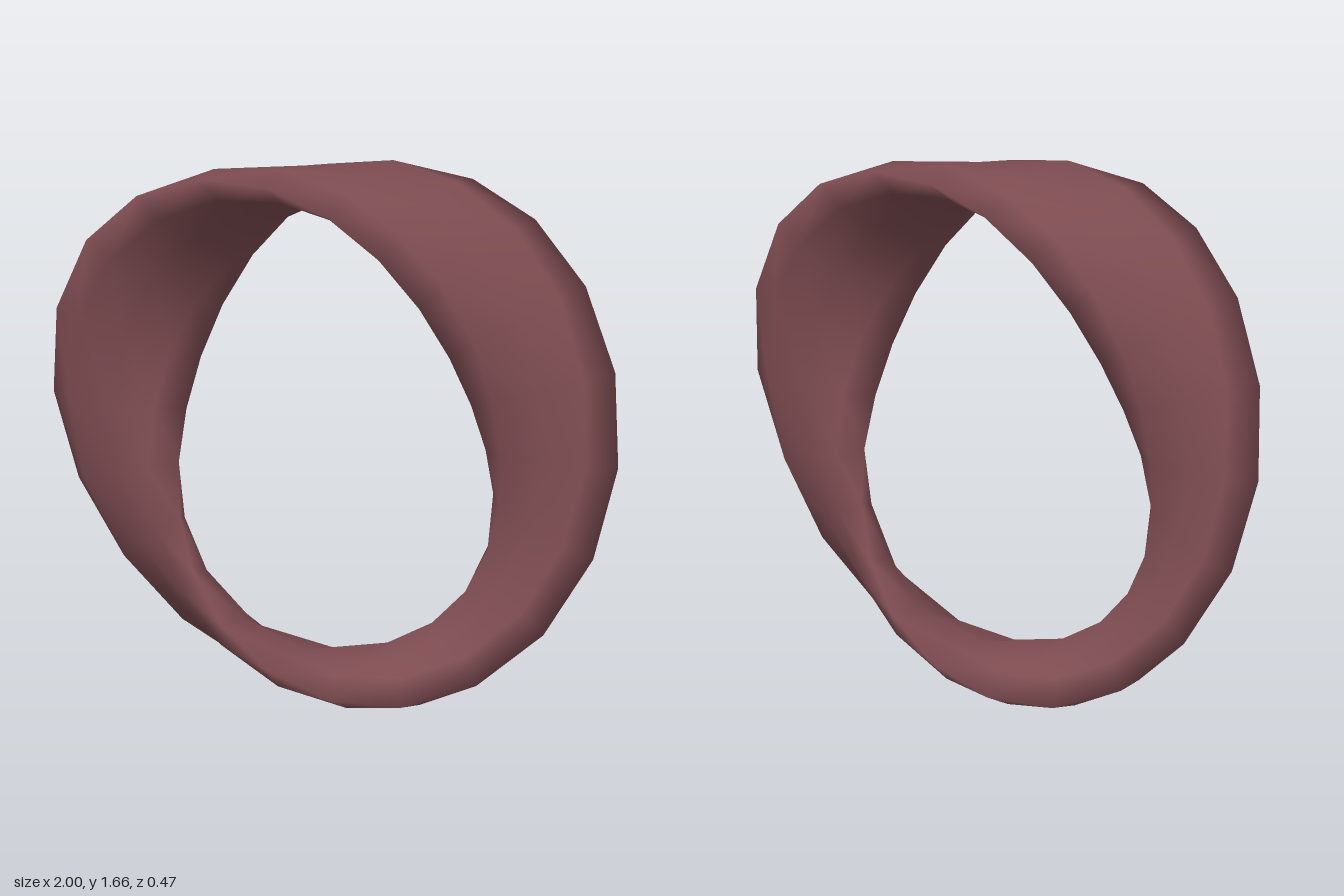
import * as THREE from 'three';

const SEGMENTS = 22;
const RADIUS = 0.765;
const CENTRE_Y = 0.829;

// Lens-like cross-section of the band: [across width, across thickness]
const SECTION = [
  [0.235, 0], [0.15, 0.052], [0, 0.055], [-0.15, 0.052],
  [-0.235, 0], [-0.15, -0.052], [0, -0.055], [0.15, -0.052],
];

// Sweep the section round a circle while it makes one full twist
function twistedBandGeometry() {
  const positions = [];
  const indices = [];
  const n = SECTION.length;
  for (let i = 0; i < SEGMENTS; i++) {
    const phi = (i / SEGMENTS) * Math.PI * 2;
    const twist = -phi;
    const c = Math.cos(twist), s = Math.sin(twist);
    for (const [u, v] of SECTION) {
      const r = RADIUS + u * c - v * s;
      positions.push(r * Math.cos(phi), CENTRE_Y + r * Math.sin(phi), u * s + v * c);
    }
    const next = (i + 1) % SEGMENTS;
    for (let j = 0; j < n; j++) {
      const k = (j + 1) % n;
      const a = i * n + j, b = next * n + j, d = next * n + k, e = i * n + k;
      indices.push(a, b, d, a, d, e);
    }
  }
  const geometry = new THREE.BufferGeometry();
  geometry.setAttribute('position', new THREE.Float32BufferAttribute(positions, 3));
  geometry.setIndex(indices);
  geometry.computeVertexNormals();
  return geometry;
}

export function createModel() {
  const group = new THREE.Group();
  group.name = 'twistedRing';
  const material = new THREE.MeshStandardMaterial({ color: 0x7d4c51 });
  material.name = 'dustyRed';
  const band = new THREE.Mesh(twistedBandGeometry(), material);
  band.name = 'twistedBand';
  group.add(band);
  return group;
}
